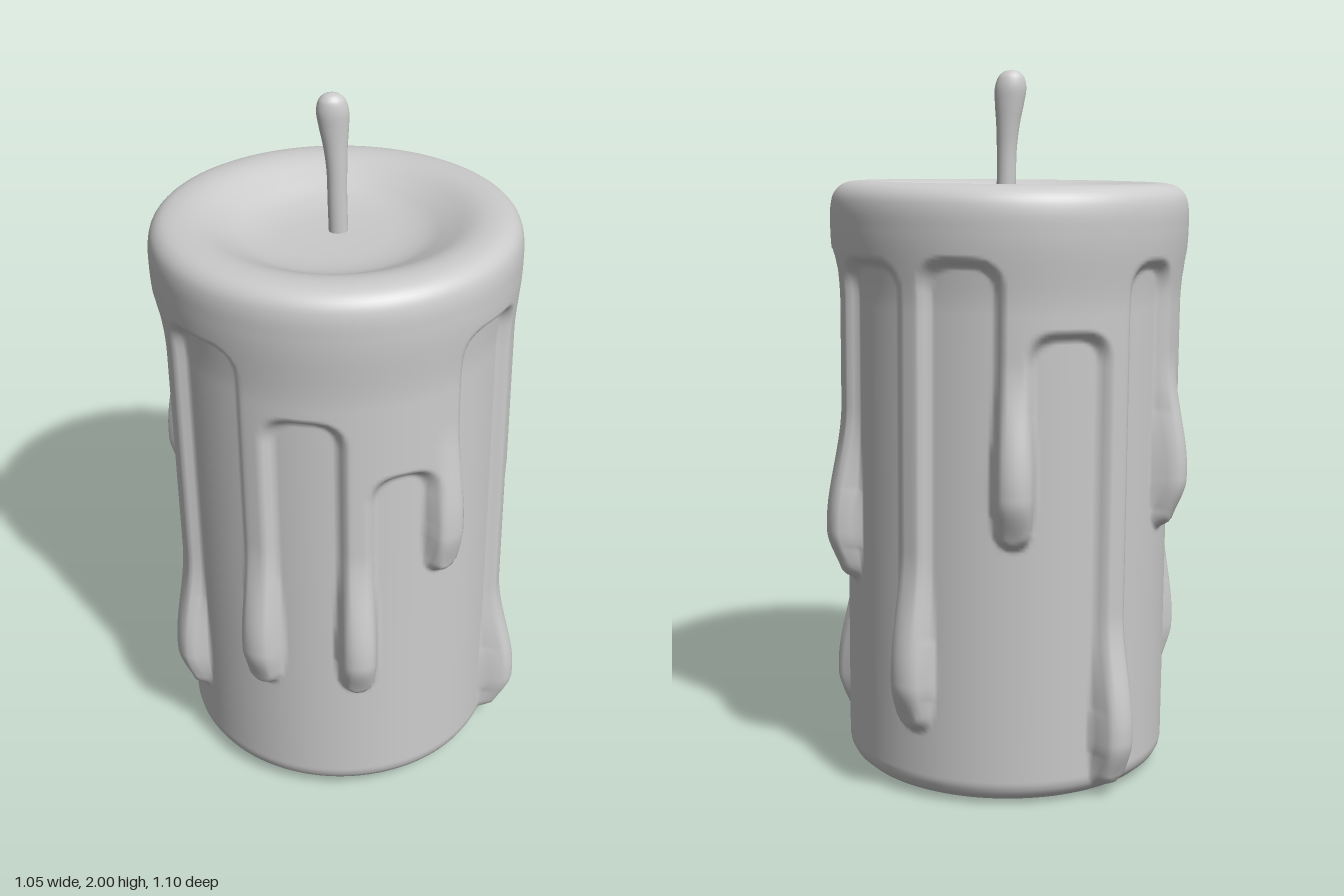
import * as THREE from 'three';
import { mergeVertices } from 'three/addons/utils/BufferGeometryUtils.js';

const CORE = 0.465, LAYER = 0.03, WAX_R = 0.48;
const { smoothstep } = THREE.MathUtils;

// Drips around the candle: angle from the front towards +x (degrees), tip height,
// bulge of the drop, and height of the arch leading to the next drip.
const drips = [
  { a: -4, tip: 0.39, bulge: 0.05, arch: 1.12 },
  { a: 27, tip: 0.76, bulge: 0.03, arch: 1.49 },
  { a: 64, tip: 0.03, bulge: 0.06, arch: 1.48 },
  { a: 107, tip: 0.57, bulge: 0.05, arch: 1.47 },
  { a: 143, tip: 0.2, bulge: 0.045, arch: 1.48 },
  { a: 177, tip: 0.73, bulge: 0.05, arch: 1.29 },
  { a: 212, tip: 0.03, bulge: 0.05, arch: 1.47 },
  { a: 241, tip: 0.73, bulge: 0.05, arch: 1.48 },
  { a: 285, tip: 0.2, bulge: 0.045, arch: 1.48 },
  { a: 322.5, tip: 0.39, bulge: 0.04, arch: 1.3 },
];
// Shoulders: short runs that widen a drip on one side.
const shoulders = [
  { a: 74, tip: 0.9, bulge: 0 },
  { a: 247, tip: 1.08, bulge: 0 },
];

const smoothMin = (a, b, k) => {
  const h = Math.max(k - Math.abs(a - b), 0) / k;
  return Math.min(a, b) - h * h * k / 4;
};

// Thickness of the melted wax over the core at an angle (degrees) and height.
function waxThickness(angle, y) {
  let arch = drips[drips.length - 1].arch, widest = 360;
  for (const d of drips) {
    const ahead = (angle - d.a + 720) % 360;
    if (ahead < widest) { widest = ahead; arch = d.arch; }
  }
  let dist = arch - y, drop = 0;
  for (const d of [...drips, ...shoulders]) {
    const turn = ((angle - d.a + 900) % 360) - 180;
    const u = THREE.MathUtils.degToRad(turn) * WAX_R;
    const s = y - d.tip;
    const swell = smoothstep(s, -0.02, 0.14) * (1 - smoothstep(s, 0.16, 0.5));
    const w = 0.042 + (d.bulge ? 0.012 * swell : 0.006);
    // Distance to a vertical run with a round tip
    const below = Math.max(0, d.tip + w - y);
    dist = smoothMin(dist, Math.hypot(u, below) - w, 0.08);
    const across = Math.max(0, 1 - (u / w) ** 2);
    drop = Math.max(drop, d.bulge * swell * Math.sqrt(across));
  }
  return LAYER * (1 - smoothstep(dist, -0.016, 0.012)) + drop;
}

function candleGeometry() {
  // Underside and rounded foot
  const pts = [[0, 0], [0.2, 0], [0.38, 0], [0.41, 0.003], [0.435, 0.012], [0.453, 0.028], [0.462, 0.045]]
    .map(([r, y]) => new THREE.Vector2(r, y));
  // Straight side, swelling a little under the rim
  const rows = 165;
  for (let i = 0; i <= rows; i++) {
    const y = 0.06 + 1.5 * i / rows;
    pts.push(new THREE.Vector2(CORE + 0.014 * smoothstep(y, 1.35, 1.56), y));
  }
  const sideEnd = pts.length;
  // Rounded rim and sunken pool
  const rim = new THREE.SplineCurve([
    [0.509, 1.56], [0.508, 1.61], [0.497, 1.65], [0.468, 1.675], [0.42, 1.682], [0.37, 1.673],
    [0.31, 1.645], [0.25, 1.617], [0.18, 1.602], [0.09, 1.597], [0, 1.596],
  ].map(([r, y]) => new THREE.Vector2(r, y)));
  const rimPts = rim.getPoints(40).slice(1);
  rimPts[rimPts.length - 1].x = 0;
  pts.push(...rimPts);

  const segments = 280;
  const geo = new THREE.LatheGeometry(pts, segments);
  const pos = geo.attributes.position;
  for (let i = 0; i < pos.count; i++) {
    const row = i % pts.length, col = Math.floor(i / pts.length) % segments;
    const { x: r, y } = pts[row];
    if (row >= sideEnd || r < 0.3) continue;
    const foot = Math.min(1, (r / CORE) ** 8);
    const k = 1 + foot * waxThickness(col * 360 / segments, y) / r;
    pos.setX(i, pos.getX(i) * k);
    pos.setZ(i, pos.getZ(i) * k);
  }
  // Weld the seam so the shading is continuous
  geo.deleteAttribute('uv');
  geo.deleteAttribute('normal');
  const welded = mergeVertices(geo, 1e-5);
  welded.computeVertexNormals();
  return welded;
}

function wickGeometry() {
  // Oval cross-sections: height, x, z, half width in x and in z
  const sections = [
    [1.57, 0.012, -0.08, 0.027, 0.024], [1.7, 0.008, -0.081, 0.027, 0.024], [1.78, 0.007, -0.083, 0.028, 0.025],
    [1.85, 0.004, -0.087, 0.033, 0.028], [1.91, 0, -0.09, 0.041, 0.032], [1.95, -0.003, -0.091, 0.044, 0.034],
    [1.98, -0.005, -0.091, 0.036, 0.029], [1.995, -0.006, -0.091, 0.02, 0.017], [2, -0.006, -0.091, 0, 0],
  ];
  const steps = 40;
  const path = new THREE.CatmullRomCurve3(sections.map(([y, x, z]) => new THREE.Vector3(x, y, z)));
  const size = new THREE.SplineCurve(sections.map((s) => new THREE.Vector2(s[3], s[4])));
  const geo = new THREE.CylinderGeometry(1, 1, 1, 28, steps, true);
  const pos = geo.attributes.position;
  for (let i = 0; i < pos.count; i++) {
    const t = Math.round((pos.getY(i) + 0.5) * steps) / steps;
    const c = path.getPoint(t), r = size.getPoint(t);
    pos.setXYZ(i, c.x + pos.getX(i) * r.x, c.y, c.z + pos.getZ(i) * r.y);
  }
  geo.deleteAttribute('uv');
  geo.deleteAttribute('normal');
  const welded = mergeVertices(geo, 1e-5);
  welded.computeVertexNormals();
  return welded;
}

export function createModel() {
  const group = new THREE.Group();
  group.name = 'candle';
  const material = new THREE.MeshStandardMaterial({ color: 0xcccccc });

  // Wax body, leaning slightly backwards
  const body = new THREE.Mesh(candleGeometry(), material);
  body.name = 'waxBody';
  body.rotation.set(-0.025, 0, 0.006);
  body.position.set(0.004, 0.012, 0.012);
  group.add(body);

  const wick = new THREE.Mesh(wickGeometry(), material);
  wick.name = 'wick';
  group.add(wick);
  return group;
}
